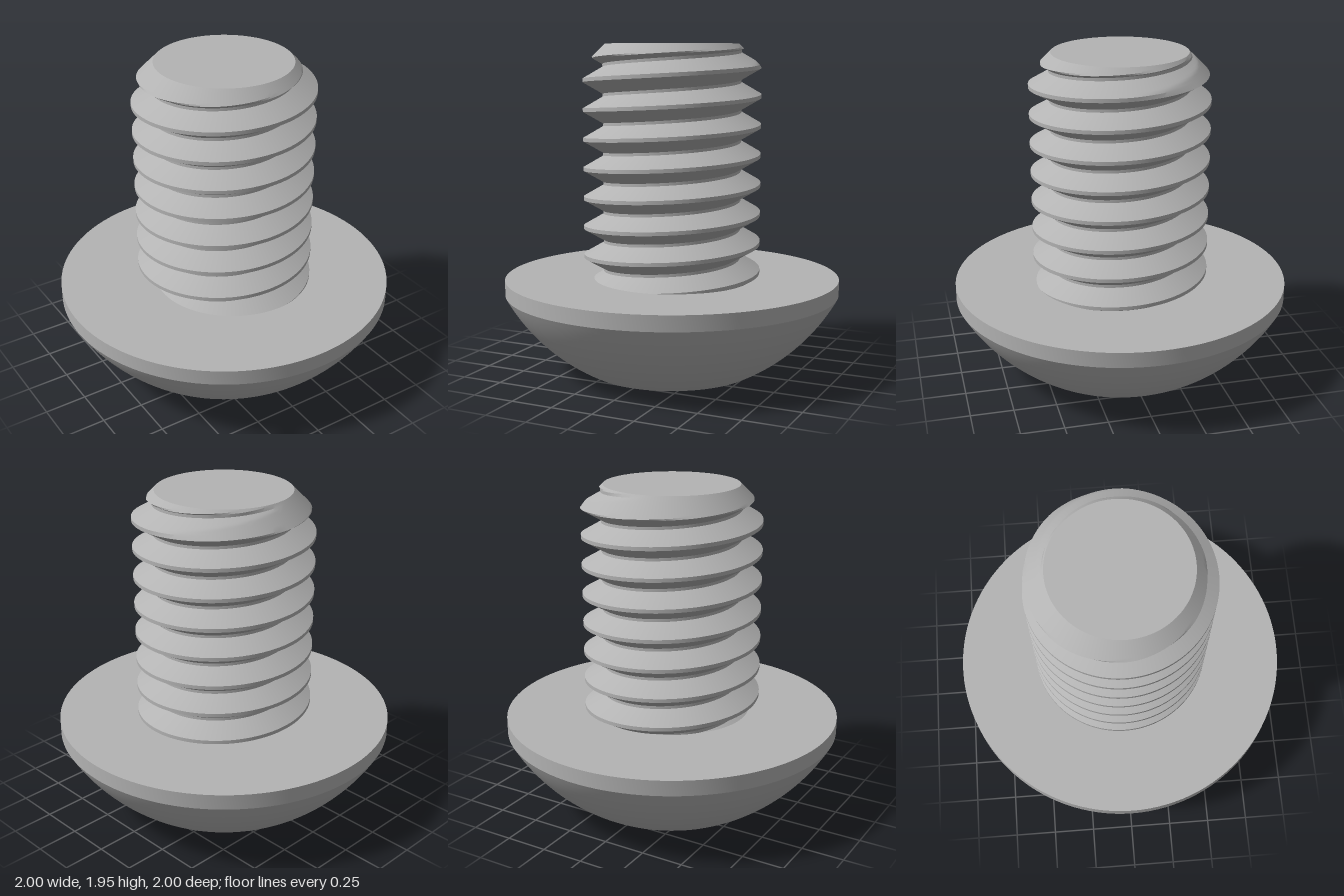
import * as THREE from 'three';
import { toCreasedNormals } from 'three/addons/utils/BufferGeometryUtils.js';

const SIDES = 120;
const HEAD_TOP = 0.56, TIP = 1.945;

// Surface swept round the y axis; point(j, angle) gives [radius, height] of row j.
function sweep(rows, point) {
  const pos = [];
  const at = (j, i) => {
    const a = (i / SIDES) * Math.PI * 2;
    const [r, y] = point(j, a);
    return new THREE.Vector3(r * Math.cos(a), y, -r * Math.sin(a));
  };
  const tri = (a, b, c) => {
    const area = b.clone().sub(a).cross(c.clone().sub(a)).length();
    if (area > 1e-9) pos.push(...a.toArray(), ...b.toArray(), ...c.toArray());
  };
  for (let i = 0; i < SIDES; i++) {
    for (let j = 0; j < rows - 1; j++) {
      const a = at(j, i), b = at(j, i + 1), c = at(j + 1, i + 1), d = at(j + 1, i);
      tri(a, b, c);
      tri(a, c, d);
    }
  }
  const g = new THREE.BufferGeometry();
  g.setAttribute('position', new THREE.Float32BufferAttribute(pos, 3));
  return toCreasedNormals(g, 0.4);
}

// Helical thread, clipped by the head below and by a 45 degree chamfer at the tip
function threadGeometry() {
  const pitch = 0.174, root = 0.41, crest = 0.527, half = 0.011, flank = 0.0675, steps = 8;
  const bottom = HEAD_TOP - 0.02, crestY = 1.805, tipRadius = 0.395;
  const radius = (y, a) => {
    let d = (y - crestY) / pitch - a / (Math.PI * 2);
    d = Math.abs(d - Math.round(d)) * pitch;
    const t = THREE.MathUtils.clamp((d - half) / flank, 0, 1);
    return Math.min(crest + (root - crest) * t, tipRadius + TIP - y);
  };
  // row offsets within one turn: crest flat, falling flank, root flat, rising flank
  const offsets = [];
  for (let k = 0; k <= steps; k++) offsets.push(-half - flank * (1 - k / steps));
  for (let k = 0; k <= steps; k++) offsets.push(half + flank * (k / steps));
  const n = offsets.length, turns = 11;
  return sweep(n * turns, (j, a) => {
    const turn = Math.floor(j / n) - turns + 2;
    const y = THREE.MathUtils.clamp(
      crestY + pitch * (turn + a / (Math.PI * 2)) + offsets[j % n], bottom, TIP);
    return [radius(y, a), y];
  });
}

// Hexagonal recess with a conical lead-in, opening downwards
function socketGeometry() {
  const R = 0.4, depth = 0.39, sector = Math.PI / 3;
  return sweep(4, (j, a) => {
    const local = (a % sector) - sector / 2;
    const hex = (R * Math.cos(sector / 2)) / Math.cos(local);
    return [[0, depth], [hex, depth], [hex, R - hex], [R, 0]][j];
  });
}

// Domed head: flat underside ring, spherical dome, short rim and bearing face
function headGeometry() {
  const centre = 1.011, ball = 1.137, rimY = 0.47;
  const pts = [new THREE.Vector2(0.4, 0)];
  for (let k = 0; k <= 20; k++) {
    const y = (rimY * k) / 20;
    pts.push(new THREE.Vector2(Math.min(1, Math.sqrt(ball ** 2 - (centre - y) ** 2)), y));
  }
  pts.push(new THREE.Vector2(1, HEAD_TOP), new THREE.Vector2(0.3, HEAD_TOP));
  return toCreasedNormals(new THREE.LatheGeometry(pts, SIDES, Math.PI / 2), 0.4);
}

export function createModel() {
  const model = new THREE.Group();
  model.name = 'buttonHeadScrew';
  const steel = new THREE.MeshStandardMaterial({ color: 0xb3b3b3 });
  steel.name = 'steel grey';

  const add = (name, geometry) => {
    const mesh = new THREE.Mesh(geometry, steel);
    mesh.name = name;
    model.add(mesh);
    return mesh;
  };

  add('head', headGeometry());
  add('hexSocket', socketGeometry());
  add('threadedShank', threadGeometry());

  // Flat end of the shank
  const tip = add('shankTip', new THREE.CircleGeometry(0.395, SIDES));
  tip.rotation.x = -Math.PI / 2;
  tip.position.y = TIP;

  return model;
}
